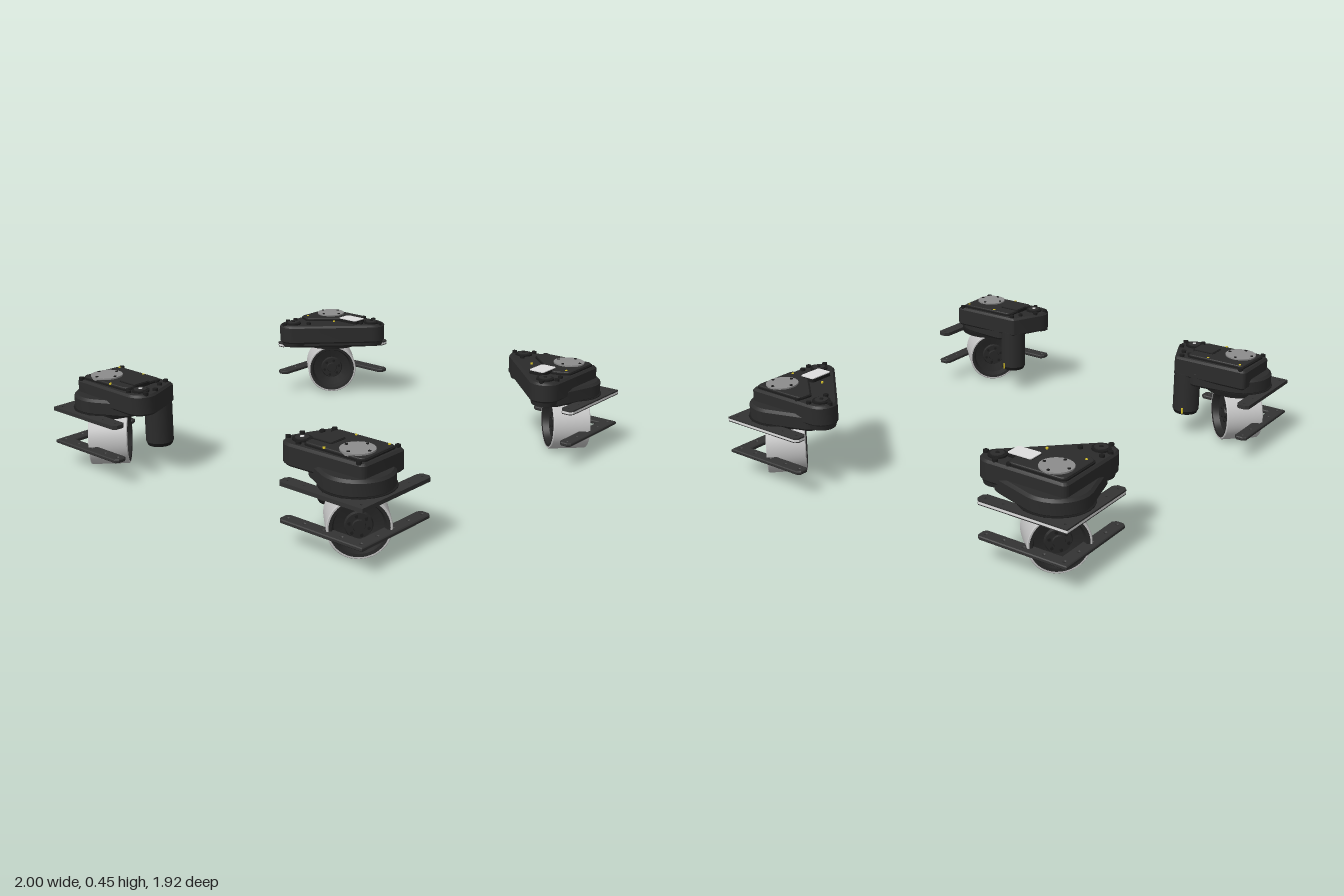
import * as THREE from 'three';
import { toCreasedNormals } from 'three/addons/utils/BufferGeometryUtils.js';

const material = (name, color, side = THREE.FrontSide) => {
  const m = new THREE.MeshStandardMaterial({ color, side });
  m.name = name;
  return m;
};
const mats = {
  body: material('charcoal housing', 0x2b2b2b),
  bracket: material('dark bracket', 0x333333),
  trim: material('black trim', 0x1c1c1c),
  hub: material('dark hub', 0x272727, THREE.DoubleSide),
  tread: material('light grey tread', 0xc4c4c4, THREE.DoubleSide),
  cap: material('mid grey cap', 0x8c8c8c),
  light: material('pale grey', 0xdedede),
  yellow: material('yellow marker', 0xd6c22a),
};

// wheel axis position and the shared wheel size
const CX = 0.812, CZ = 0.78, R = 0.135, HALF = 0.092;

// convex outline wrapped around discs [x, z, radius]
function wrap(discs) {
  const pts = [];
  for (const [x, z, r] of discs)
    for (let i = 0; i < 28; i++) {
      const a = (i / 28) * Math.PI * 2;
      pts.push([x + r * Math.cos(a), z + r * Math.sin(a)]);
    }
  pts.sort((p, q) => p[0] - q[0] || p[1] - q[1]);
  const chain = (list) => {
    const out = [];
    for (const p of list) {
      while (out.length > 1) {
        const [a, b] = out.slice(-2);
        if ((b[0] - a[0]) * (p[1] - a[1]) - (b[1] - a[1]) * (p[0] - a[0]) > 1e-9) break;
        out.pop();
      }
      out.push(p);
    }
    return out.slice(0, -1);
  };
  return [...chain(pts), ...chain([...pts].reverse())];
}
const inset = (discs, d) => discs.map(([x, z, r]) => [x, z, Math.max(r - d, 0.003)]);

// wheel centred on the origin, its axle along y
function makeWheel() {
  const wheel = new THREE.Group();
  wheel.name = 'wheel';
  const lathe = (name, pts, mat) => {
    const g = new THREE.LatheGeometry(pts.map(([r, y]) => new THREE.Vector2(r, y)), 48);
    const mesh = new THREE.Mesh(toCreasedNormals(g, 0.5), mat);
    mesh.name = name;
    wheel.add(mesh);
  };
  lathe('tread', [[0.125, -HALF], [0.132, -HALF], [R, -HALF + 0.004], [R, HALF - 0.004],
    [0.132, HALF], [0.125, HALF]], mats.tread);
  for (const s of [-1, 1]) {
    lathe('hubDish', [[0.125, s * HALF], [0.112, s * 0.09], [0.102, s * 0.06], [0.06, s * 0.05],
      [0.055, s * 0.062], [0.028, s * 0.062], [0.025, s * 0.07], [0, s * 0.07]], mats.hub);
    for (let i = 0; i < 6; i++) {
      const a = (i / 6) * Math.PI * 2;
      const bolt = new THREE.Mesh(new THREE.CylinderGeometry(0.007, 0.007, 0.012, 10), mats.trim);
      bolt.name = 'hubBolt';
      bolt.position.set(0.042 * Math.cos(a), s * 0.063, 0.042 * Math.sin(a));
      wheel.add(bolt);
    }
  }
  return wheel;
}

// one drive unit; sx and sz choose the corner it stands in
function makeUnit(sx, sz, wide) {
  const unit = new THREE.Group();
  unit.name = wide ? 'wideDriveUnit' : 'narrowDriveUnit';
  const add = (name, geo, mat, x = 0, y = 0, z = 0) => {
    const mesh = new THREE.Mesh(geo, mat);
    mesh.name = name;
    mesh.position.set(sx * x, y, sz * z);
    unit.add(mesh);
    return mesh;
  };
  // flat outline raised from y0 to y1
  const slab = (name, pts, y0, y1, mat, bevel = 0, holes = []) => {
    const shape = new THREE.Shape(pts.map(([x, z]) => new THREE.Vector2(sx * x, -sz * z)));
    for (const [x, z, r] of holes)
      shape.holes.push(new THREE.Path().absarc(sx * x, -sz * z, r, 0, Math.PI * 2));
    const g = new THREE.ExtrudeGeometry(shape, {
      depth: y1 - y0 - 2 * bevel, curveSegments: 6, bevelEnabled: bevel > 0,
      bevelSize: bevel, bevelThickness: bevel, bevelOffset: -bevel, bevelSegments: 1,
    });
    g.rotateX(-Math.PI / 2).translate(0, y0 + bevel, 0);
    add(name, toCreasedNormals(g, 0.5), mat);
  };
  const drum = (name, x, z, r, y0, y1, mat, rTop = r) =>
    add(name, new THREE.CylinderGeometry(rTop, r, y1 - y0, 28), mat, x, (y0 + y1) / 2, z);

  // corner brackets with bolt holes
  const corner = [[1, 0.96], [1, 0.525], [0.985, 0.51], [0.95, 0.51], [0.935, 0.525], [0.935, 0.895],
    [0.57, 0.895], [0.55, 0.91], [0.55, 0.945], [0.565, 0.96]];
  const holes = [[0.968, 0.93, 0.006]];
  for (const d of [0.1, 0.2, 0.3, 0.39])
    holes.push([0.968, 0.93 - d, 0.005], [0.968 - d, 0.93, 0.005]);
  slab('lowerBracket', corner, 0.108, 0.126, mats.bracket, 0.004, holes);
  if (wide) {
    slab('upperBracketBase', corner, 0.269, 0.273, mats.bracket, 0, holes);
    slab('upperBracketCore', corner, 0.273, 0.284, mats.light, 0, holes);
    slab('upperBracketTop', corner, 0.284, 0.291, mats.bracket, 0, holes);
  } else slab('upperBracket', corner, 0.273, 0.291, mats.bracket, 0, holes);
  slab('cornerGusset', [[0.94, 0.9], [0.94, 0.74], [0.78, 0.9]], 0.275, 0.288, mats.bracket);
  drum('turntable', CX, CZ, 0.165, 0.272, 0.294, mats.trim);

  // lower housing
  const lower = wide
    ? [[CX, CZ, 0.158], [0.6, 0.82, 0.06], [0.85, 0.57, 0.06]]
    : [[CX, CZ, 0.158], [0.84, 0.62, 0.06], [0.7, 0.62, 0.06]];
  slab('lowerHousing', wrap(lower), 0.286, 0.365, mats.body, 0.012);

  // gearbox cover with a stepped top
  const cover = wide
    ? [[0.885, 0.865, 0.025], [0.535, 0.815, 0.075], [0.837, 0.502, 0.073]]
    : [[0.885, 0.865, 0.025], [0.66, 0.87, 0.02], [0.655, 0.512, 0.014], [0.84, 0.505, 0.08]];
  slab('gearboxCover', wrap(cover), 0.325, 0.425, mats.body, 0.01);
  const deck = wide
    ? [[0.865, 0.845, 0.03], [0.68, 0.85, 0.025], [0.65, 0.8, 0.02], [0.83, 0.6, 0.02], [0.87, 0.61, 0.025]]
    : [[0.862, 0.842, 0.03], [0.69, 0.842, 0.025], [0.69, 0.575, 0.022], [0.865, 0.575, 0.025]];
  slab('deckEdge', wrap(deck), 0.42, 0.432, mats.trim);
  slab('topDeck', wrap(inset(deck, 0.006)), 0.42, 0.439, mats.body, 0.003);

  // round grey cap over the steering axis
  drum('steeringCap', CX, CZ, 0.075, 0.43, 0.446, mats.cap);
  for (let i = 0; i < 4; i++) {
    const a = (i / 4) * Math.PI * 2;
    drum('capScrew', CX + 0.06 * Math.cos(a), CZ + 0.06 * Math.sin(a), 0.007, 0.44, 0.449, mats.trim);
  }

  // lobe bearings and cover screws
  const lobes = wide ? [[0.535, 0.815], [0.837, 0.502]] : [[0.84, 0.505]];
  for (const [x, z] of lobes) {
    drum('lobeBoss', x, z, 0.042, 0.42, 0.433, mats.trim);
    drum('lobeBearing', x, z, 0.03, 0.42, 0.437, mats.body);
    drum('lobePin', x, z, 0.009, 0.43, 0.44, wide ? mats.trim : mats.light);
    if (wide) drum('lobeFoot', x, z, 0.06, 0.305, 0.34, mats.body, 0.07);
  }
  const screws = wide
    ? [[0.48, 0.83], [0.55, 0.87], [0.6, 0.86], [0.58, 0.74], [0.78, 0.53], [0.89, 0.53], [0.84, 0.445], [0.89, 0.6]]
    : [[0.89, 0.53], [0.86, 0.445], [0.79, 0.46], [0.7, 0.555], [0.665, 0.53], [0.72, 0.51], [0.9, 0.86], [0.655, 0.86]];
  for (const [x, z] of screws) drum('coverScrew', x, z, 0.012, 0.42, 0.436, mats.trim);

  // window plate: pale on the wide units, dark on the narrow ones
  const [wx, wz, hw, hd] = !wide ? [0.79, 0.605, 0.036, 0.046]
    : sz > 0 ? [0.63, 0.742, 0.05, 0.03] : [0.785, 0.602, 0.03, 0.05];
  const plate = [];
  for (const i of [-1, 1]) for (const j of [-1, 1]) plate.push([wx + i * hw, wz + j * hd, 0.012]);
  slab('windowFrame', wrap(plate), 0.424, 0.441, mats.trim);
  slab('windowPlate', wrap(inset(plate, wide ? 0.002 : 0.006)), 0.438, 0.445, wide ? mats.light : mats.body);

  // yellow markers
  const marks = wide ? [[0.685, 0.84], [0.685, 0.645]] : [[0.685, 0.665], [0.685, 0.84], [0.885, 0.665]];
  for (const [x, z] of marks) drum('marker', x, z, 0.006, 0.435, 0.442, mats.yellow);

  // hanging motor on the narrow units
  if (!wide) {
    drum('motorCan', 0.702, 0.547, 0.066, 0.14, 0.34, mats.body);
    drum('motorBase', 0.702, 0.547, 0.058, 0.122, 0.14, mats.trim, 0.066);
    drum('motorShaft', 0.702, 0.547, 0.02, 0.115, 0.124, mats.hub);
    add('motorLabel', new THREE.BoxGeometry(0.004, 0.03, 0.008), mats.yellow, 0.6365, 0.145, 0.562);
  }

  // wheel set diagonally, facing the outer corner
  const wheel = makeWheel();
  wheel.position.set(sx * CX, R, sz * CZ);
  wheel.quaternion.setFromUnitVectors(new THREE.Vector3(0, 1, 0), new THREE.Vector3(sx, 0, sz).normalize());
  unit.add(wheel);
  return unit;
}

export function createModel() {
  const model = new THREE.Group();
  model.name = 'fourCornerDriveUnits';
  for (const sx of [-1, 1])
    for (const sz of [-1, 1]) model.add(makeUnit(sx, sz, sx > 0));
  return model;
}
